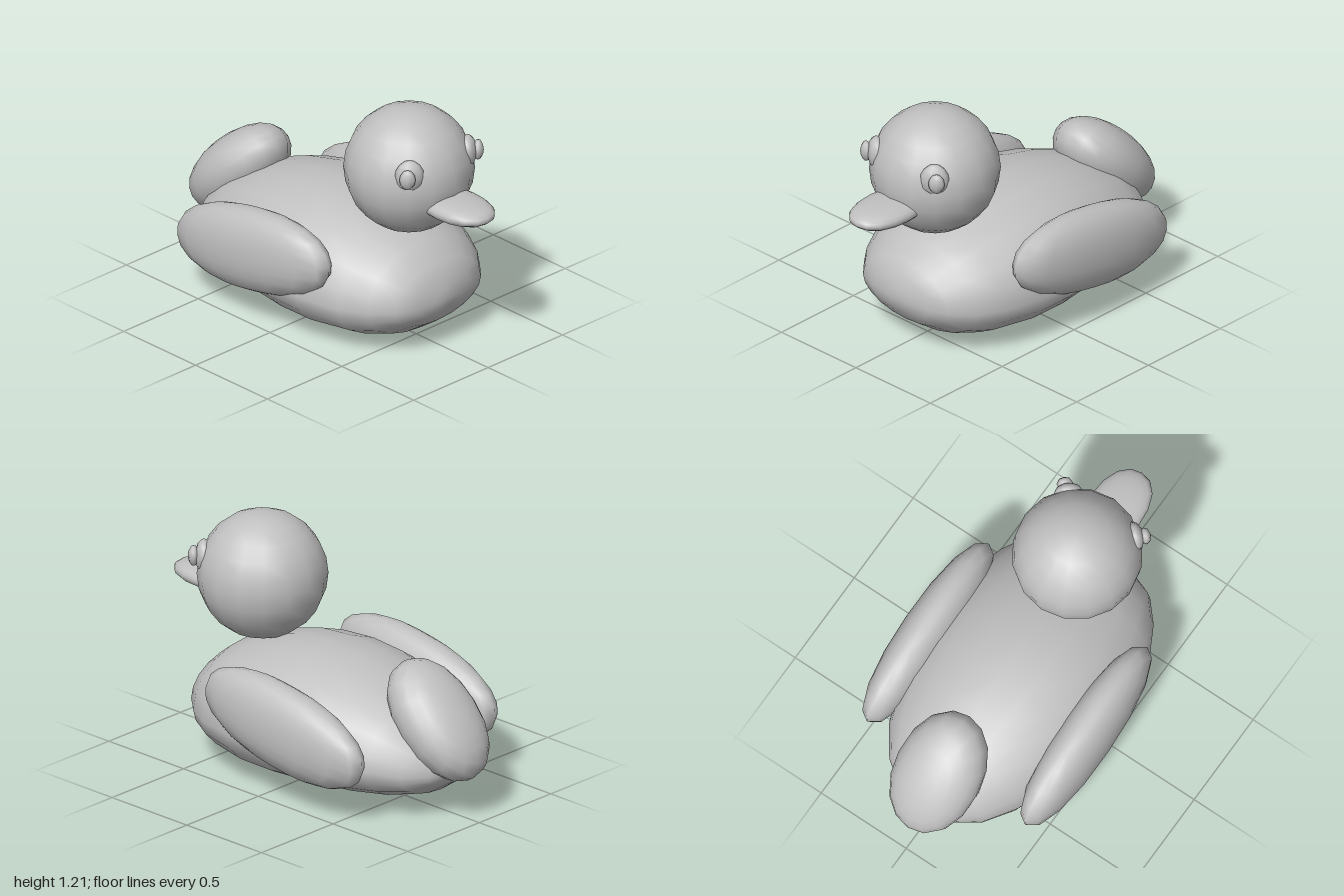
import * as THREE from 'three';

const grey = new THREE.MeshStandardMaterial({ color: 0xc0c0c0 });
grey.name = 'plain grey';

// Rounded lump: a sphere, slightly boxed by exponent p, scaled to half sizes
function lump(name, size, pos, p = 1, seg = 16) {
  const geo = new THREE.SphereGeometry(1, seg, Math.round(seg * 0.75));
  const a = geo.attributes.position;
  const n = geo.attributes.normal;
  const v = new THREE.Vector3();
  const q = 2 / p;
  for (let i = 0; i < a.count; i++) {
    v.fromBufferAttribute(a, i);
    const f = Math.pow(Math.abs(v.x) ** q + Math.abs(v.y) ** q + Math.abs(v.z) ** q, -1 / q);
    v.multiplyScalar(f);
    a.setXYZ(i, v.x * size[0], v.y * size[1], v.z * size[2]);
    // Gradient of the implicit surface gives seamless smooth normals
    const g = (c, s) => Math.sign(c) * Math.abs(c) ** (q - 1) / s;
    v.set(g(v.x, size[0]), g(v.y, size[1]), g(v.z, size[2])).normalize();
    n.setXYZ(i, v.x, v.y, v.z);
  }
  const mesh = new THREE.Mesh(geo, grey);
  mesh.name = name;
  mesh.position.set(...pos);
  return mesh;
}

// Body lofted from front to back: z, half width, bottom, top
function makeBody() {
  const sections = [
    [0.71, 0.07, 0.23, 0.32], [0.69, 0.19, 0.18, 0.38], [0.65, 0.29, 0.13, 0.45],
    [0.55, 0.38, 0.06, 0.53], [0.42, 0.45, 0.02, 0.585], [0.2, 0.515, 0.003, 0.645],
    [0, 0.52, 0, 0.663], [-0.2, 0.505, 0.02, 0.65], [-0.4, 0.46, 0.03, 0.605],
    [-0.6, 0.38, 0.06, 0.53], [-0.74, 0.28, 0.1, 0.43], [-0.82, 0.17, 0.16, 0.34],
    [-0.85, 0.06, 0.21, 0.28],
  ];
  const sides = 20;
  const pos = [];
  const idx = [];
  sections.forEach(([z, w, bottom, top]) => {
    const mid = bottom + (top - bottom) * 0.42;
    for (let j = 0; j < sides; j++) {
      const t = (j / sides) * Math.PI * 2;
      const s = Math.sin(t);
      pos.push(w * Math.cos(t), mid + s * (s > 0 ? top - mid : mid - bottom), z);
    }
  });
  for (let i = 0; i < sections.length - 1; i++) {
    for (let j = 0; j < sides; j++) {
      const k = (j + 1) % sides;
      const a = i * sides + j, b = i * sides + k;
      idx.push(a, a + sides, b, b, a + sides, b + sides);
    }
  }
  // Close both ends
  const last = (sections.length - 1) * sides;
  const front = pos.length / 3;
  pos.push(0, 0.27, 0.713, 0, 0.245, -0.855);
  for (let j = 0; j < sides; j++) {
    const k = (j + 1) % sides;
    idx.push(front, j, k, front + 1, last + k, last + j);
  }
  const geo = new THREE.BufferGeometry();
  geo.setAttribute('position', new THREE.Float32BufferAttribute(pos, 3));
  geo.setIndex(idx);
  geo.computeVertexNormals();
  const mesh = new THREE.Mesh(geo, grey);
  mesh.name = 'body';
  return mesh;
}

export function createModel() {
  const model = new THREE.Group();
  model.name = 'duck';
  model.add(makeBody());
  model.add(lump('head', [0.318, 0.32, 0.32], [0, 0.89, 0.45]));
  model.add(lump('beak', [0.14, 0.053, 0.23], [0, 0.793, 0.77], 0.88));

  // Tail leans down towards the back
  const tail = lump('tail', [0.22, 0.165, 0.335], [0, 0.46, -0.725], 0.95);
  tail.rotation.x = -Math.PI / 4;
  model.add(tail);

  for (const side of [1, -1]) {
    const label = side > 0 ? 'left' : 'right';
    // Wings rise towards the front
    const wing = lump(label + 'Wing', [0.127, 0.215, 0.525], [side * 0.465, 0.39, -0.145], 0.92);
    wing.rotation.x = -0.17;
    model.add(wing);

    // Eye with a raised pupil, facing outward from the head
    const eye = new THREE.Group();
    eye.name = label + 'Eye';
    eye.position.set(side * 0.195, 0.98, 0.655);
    eye.rotation.set(0, side * 0.72, 0);
    eye.add(lump(label + 'Eyeball', [0.072, 0.084, 0.045], [0, 0, 0], 1, 10));
    eye.add(lump(label + 'Pupil', [0.04, 0.052, 0.028], [side * 0.012, 0.005, 0.05], 1, 8));
    model.add(eye);
  }
  return model;
}
